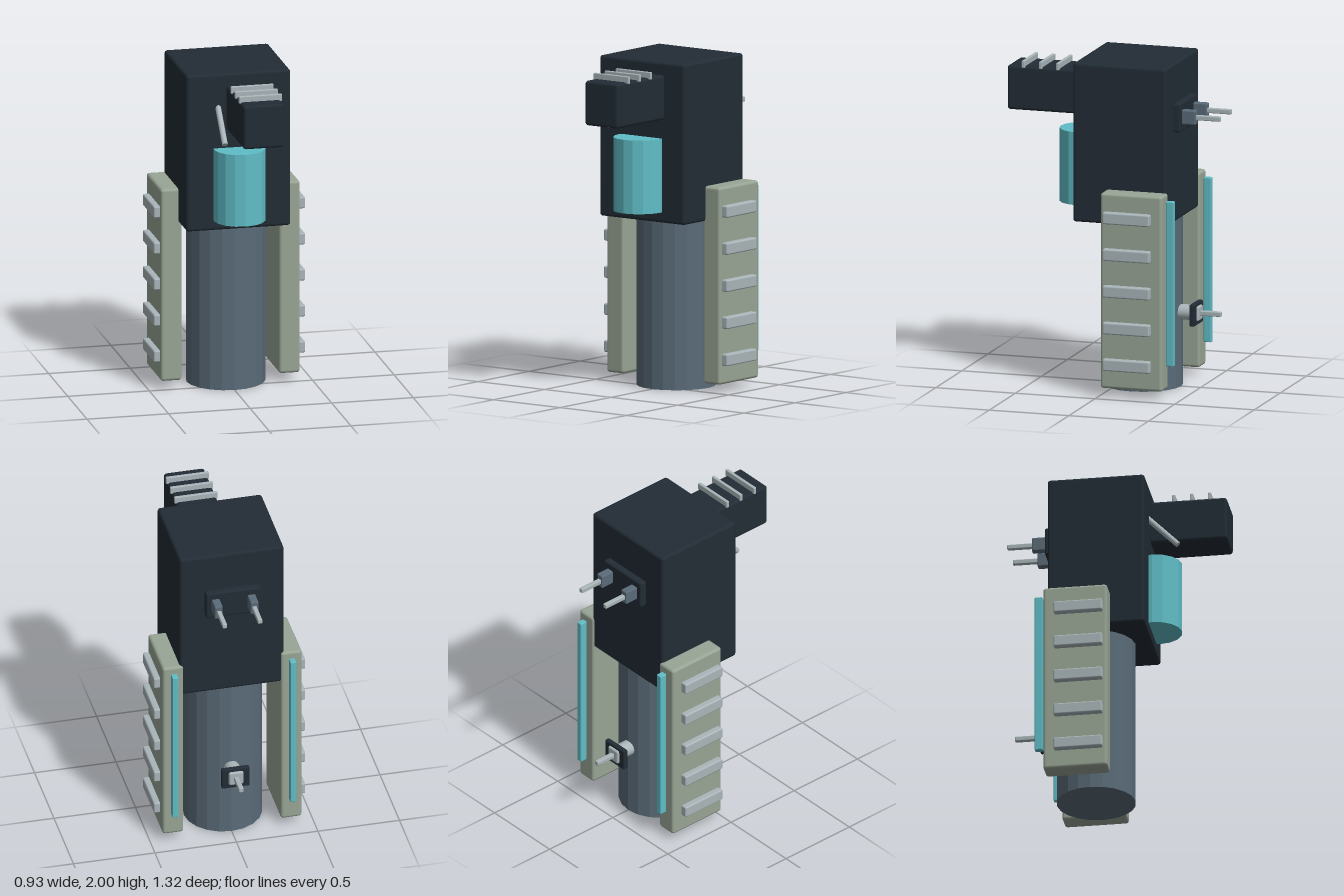
import * as THREE from 'three';
import { RoundedBoxGeometry } from 'three/addons/geometries/RoundedBoxGeometry.js';

const paint = (name, color, flatShading = false) => {
  const m = new THREE.MeshStandardMaterial({ color, flatShading });
  m.name = name;
  return m;
};

export function createModel() {
  const model = new THREE.Group();
  model.name = 'device';
  const navy = paint('dark navy', 0x222c35);
  const slate = paint('slate', 0x5a6b78, true);
  const sage = paint('sage', 0x98a595);
  const teal = paint('teal', 0x60bdc7, true);
  const silver = paint('silver', 0xaab6ba);

  const add = (name, geometry, material) => {
    const mesh = new THREE.Mesh(geometry, material);
    mesh.name = name;
    model.add(mesh);
    return mesh;
  };
  // Rounded box given by its extents along x, y and z
  const box = (name, material, [x0, x1], [y0, y1], [z0, z1], r = 0.008) => {
    const g = new RoundedBoxGeometry(x1 - x0, y1 - y0, z1 - z0, 2, r);
    g.translate((x0 + x1) / 2, (y0 + y1) / 2, (z0 + z1) / 2);
    return add(name, g, material);
  };
  // Upright drum
  const drum = (name, material, r, y0, y1, z, sides) =>
    add(name, new THREE.CylinderGeometry(r, r, y1 - y0, sides).translate(0, (y0 + y1) / 2, z), material);

  // Main housing, column and front drum
  box('housing', navy, [-0.32, 0.32], [1.03, 2.0], [-0.385, 0.2], 0.018);
  drum('column', slate, 0.238, 0, 1.05, -0.14, 20);
  drum('frontDrum', teal, 0.157, 1.095, 1.54, 0.222, 16);

  // Projecting head with three bands on top
  box('head', navy, [-0.077, 0.172], [1.655, 1.925], [0.19, 0.66], 0.018);
  for (const z of [0.34, 0.448, 0.556])
    box('headBand', silver, [-0.082, 0.181], [1.915, 1.96], [z - 0.01, z + 0.01], 0.005);

  // Slanted lever beside the head
  const lever = add('lever', new THREE.CylinderGeometry(0.018, 0.018, 0.27, 12), silver);
  lever.position.set(-0.124, 1.705, 0.278);
  lever.rotation.x = -Math.PI / 4;

  // Side panels with ribs and rear light bars
  for (const s of [-1, 1]) {
    const span = (a, b) => (s > 0 ? [a, b] : [-b, -a]);
    box('sidePanel', sage, span(0.298, 0.427), [0.05, 1.242], [-0.395, -0.008], 0.018);
    for (let i = 0; i < 5; i++) {
      const y = 0.2 + i * 0.224;
      box('panelRib', silver, span(0.41, 0.465), [y - 0.036, y + 0.036], [-0.327, -0.033], 0.01);
    }
    box('lightBar', teal, span(0.343, 0.38), [0.2, 1.205], [-0.453, -0.405], 0.006);

    // Upper rear pins
    box('pinBase', slate, span(0.085, 0.134), [1.628, 1.715], [-0.51, -0.41]);
    box('pin', silver, span(0.094, 0.122), [1.656, 1.686], [-0.66, -0.5], 0.006);
  }
  box('rearPlate', navy, [-0.168, 0.168], [1.583, 1.757], [-0.426, -0.375], 0.012);

  // Lower rear socket on the column
  const stem = new THREE.CylinderGeometry(0.047, 0.047, 0.12, 16).rotateX(Math.PI / 2);
  add('socketStem', stem.translate(0, 0.455, -0.405), silver);
  box('socketPlate', navy, [-0.086, 0.086], [0.385, 0.518], [-0.488, -0.455]);
  box('socketBlock', silver, [-0.045, 0.045], [0.41, 0.5], [-0.502, -0.47], 0.012);
  box('socketPin', silver, [-0.015, 0.015], [0.44, 0.47], [-0.63, -0.49], 0.006);

  return model;
}
